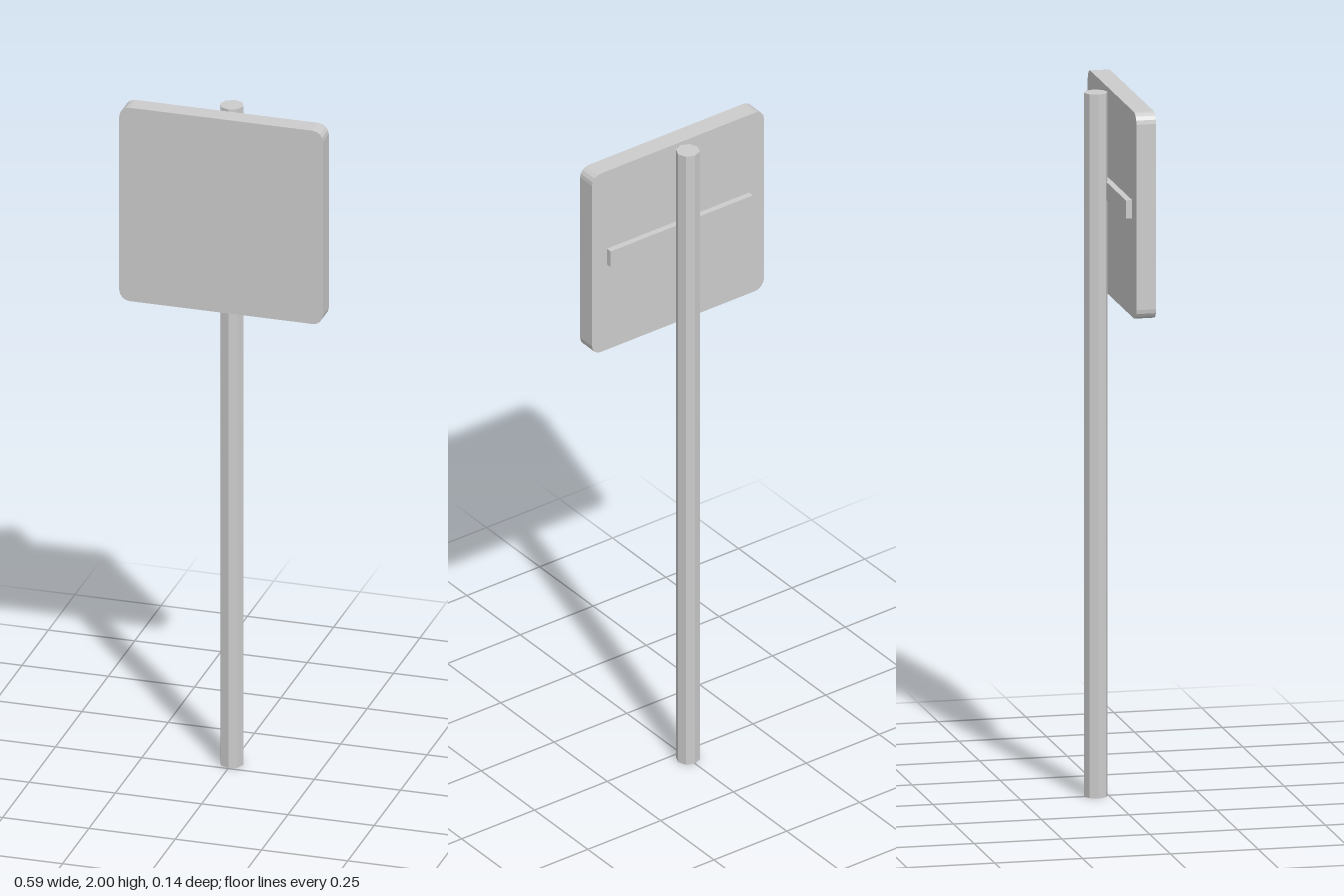
import * as THREE from 'three';

const material = new THREE.MeshStandardMaterial({ color: 0xcccccc, flatShading: true });

function addPart(group, name, geometry, x, y, z) {
  const mesh = new THREE.Mesh(geometry, material);
  mesh.name = name;
  mesh.position.set(x, y, z);
  group.add(mesh);
}

// Rectangle centred on the origin with rounded corners
function roundedRect(width, height, radius) {
  const shape = new THREE.Shape();
  const x = width / 2 - radius;
  const y = height / 2 - radius;
  [[x, y], [-x, y], [-x, -y], [x, -y]].forEach(([cx, cy], i) => {
    shape.absarc(cx, cy, radius, i * Math.PI / 2, (i + 1) * Math.PI / 2, false);
  });
  shape.closePath();
  return shape;
}

export function createModel() {
  const group = new THREE.Group();
  group.name = 'signPost';

  // Eight-sided pole behind the panel
  addPart(group, 'pole', new THREE.CylinderGeometry(0.0335, 0.0335, 2, 8), 0, 1, -0.0365);

  // Square sign panel with rounded corners
  const panel = new THREE.ExtrudeGeometry(roundedRect(0.59, 0.587, 0.03), {
    depth: 0.056, bevelEnabled: false, curveSegments: 2,
  });
  addPart(group, 'signPanel', panel, 0, 1.7065, 0.01);

  // Mounting bar between panel and pole
  addPart(group, 'mountingBar', new THREE.BoxGeometry(0.488, 0.052, 0.018), 0, 1.719, 0.001);

  return group;
}
